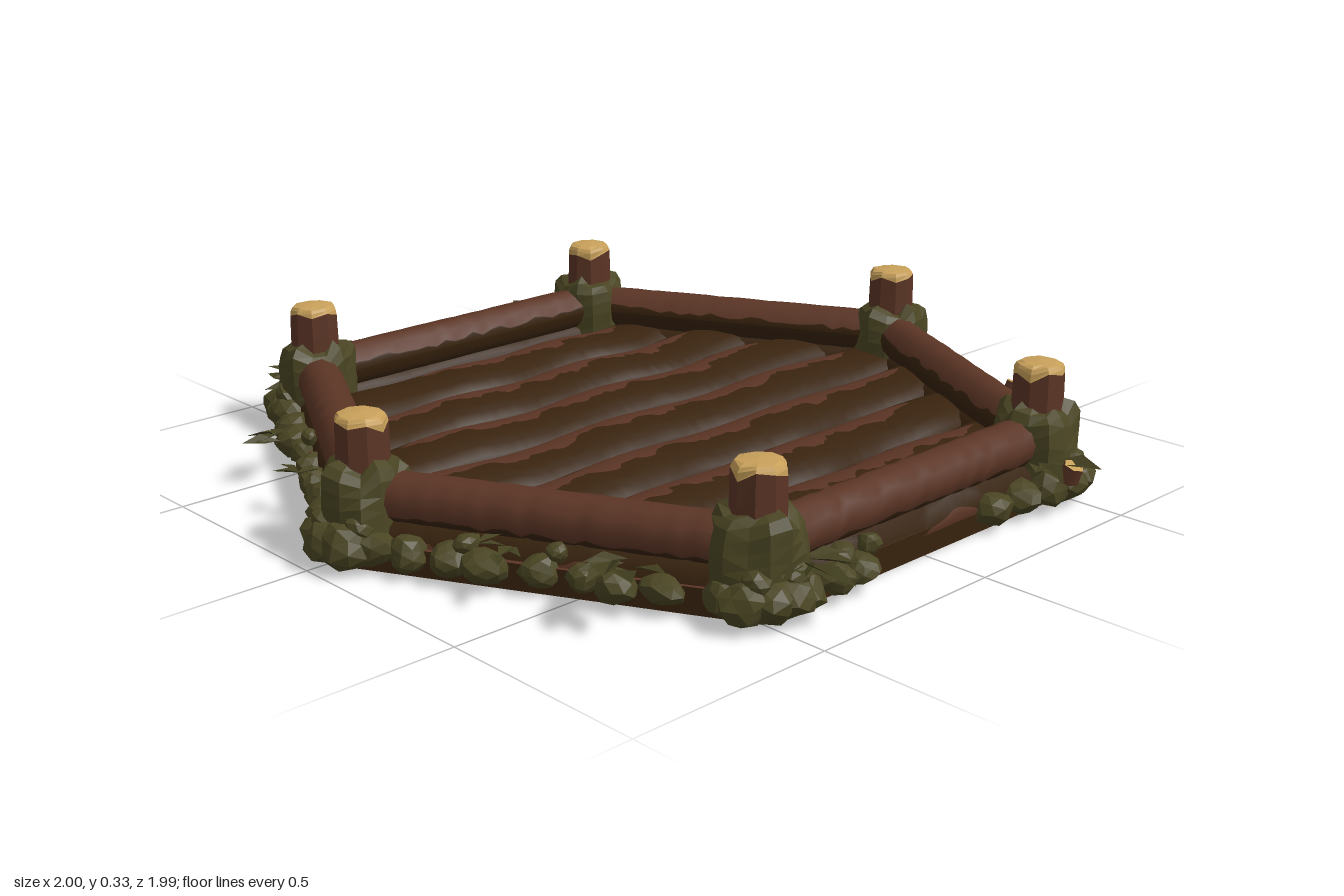
import * as THREE from 'three';

const mat = (name, color) => {
  const m = new THREE.MeshStandardMaterial({ color });
  m.name = name;
  return m;
};

let seed = 7;
const rnd = () => {
  seed = (seed * 16807) % 2147483647;
  return seed / 2147483647;
};
const vary = (a, b) => a + (b - a) * rnd();

// Surface point(u, v) cut across v into bands, one material each; edges(u, column) gives the ragged cuts.
function banded(point, cols, steps, edges, matIds) {
  const pos = [], idx = [], rows = matIds.length * steps + 1;
  for (let i = 0; i <= cols; i++) {
    const u = i / cols, e = [0, ...edges(u, i % cols), 1];
    for (let j = 0; j < rows; j++) {
      const b = Math.min(Math.floor(j / steps), matIds.length - 1);
      pos.push(...point(u, e[b] + (e[b + 1] - e[b]) * (j - b * steps) / steps));
    }
  }
  const g = new THREE.BufferGeometry();
  matIds.forEach((id, b) => {
    const start = idx.length;
    for (let i = 0; i < cols; i++) {
      for (let j = b * steps; j < (b + 1) * steps; j++) {
        const p = i * rows + j, q = p + rows;
        idx.push(p, q, q + 1, p, q + 1, p + 1);
      }
    }
    g.addGroup(start, idx.length - start, id);
  });
  g.setAttribute('position', new THREE.Float32BufferAttribute(pos, 3));
  g.setIndex(idx);
  g.computeVertexNormals();
  return g;
}

// Revolved point for a profile of [v, radius, y] rows
const turned = (profile, turn) => (u, v) => {
  let k = 0;
  while (k < profile.length - 2 && v > profile[k + 1][0]) k++;
  const [p, q] = [profile[k], profile[k + 1]];
  const t = (v - p[0]) / (q[0] - p[0]);
  const r = p[1] + (q[1] - p[1]) * t, a = u * Math.PI * 2 + turn;
  return [r * Math.sin(a), p[2] + (q[2] - p[2]) * t, r * Math.cos(a)];
};

const faceted = geo => {
  const g = geo.index ? geo.toNonIndexed() : geo;
  g.computeVertexNormals();
  return g;
};

export function createModel() {
  const model = new THREE.Group();
  model.name = 'logPlatform';
  const wood = mat('bark brown', 0x5b3525);
  const dark = mat('dark wood', 0x38230e);
  const moss = mat('moss olive', 0x4a4523);
  const leafMat = mat('leaf olive', 0x434020);
  const tan = mat('cut wood', 0xc8a05a);
  leafMat.side = THREE.DoubleSide;

  const add = (name, geo, material, parent = model) => {
    const m = new THREE.Mesh(geo, material);
    m.name = name;
    parent.add(m);
    return m;
  };

  const zc = 0.02;
  const corners = [[-0.46, 0.785], [0.46, 0.785], [0.86, zc], [0.46, -0.745], [-0.46, -0.745], [-0.86, zc]];
  const hexX = z => 0.86 - 0.4 * Math.abs(z - zc) / 0.765;

  // Base slab
  const outline = new THREE.Shape([[-0.5, -0.84], [0.5, -0.84], [0.94, -zc], [0.5, 0.8], [-0.5, 0.8], [-0.94, -zc]]
    .map(p => new THREE.Vector2(...p)));
  add('baseSlab', new THREE.ExtrudeGeometry(outline, { depth: 0.06, bevelEnabled: false })
    .rotateX(-Math.PI / 2), [wood, dark]).material[0] = wood;

  // Rounded floor planks with worn, ragged strips along the crest
  const reach = [0.3, 0.5, 0.56, 0.68, 0.64, 0.45, 0.42];
  reach.forEach((half, k) => {
    const z0 = -0.588 + k * 0.2;
    const phase = rnd() * 6;
    const shift = k === 0 ? 0.12 : vary(-0.03, 0.03);
    const point = (u, v) => {
      const a = Math.PI * v;
      const z = z0 + 0.1 * Math.cos(a) + 0.006 * Math.sin(u * 17 + k);
      return [(2 * u - 1) * hexX(z), 0.062 + 0.052 * Math.sin(a) + 0.004 * Math.sin(u * 19 + k * 2), z];
    };
    const cuts = u => {
      const x = (2 * u - 1) * hexX(z0) - shift;
      const env = Math.sqrt(THREE.MathUtils.clamp((half + 0.05 - Math.abs(x)) * 6, 0, 1));
      const wob = 0.035 * Math.sin(u * 31 + phase) + 0.025 * Math.sign(Math.sin(u * 67 + phase * 2));
      const wob2 = 0.03 * Math.sin(u * 43 + phase * 3) + 0.025 * Math.sign(Math.sin(u * 53 + phase));
      return [0.63 - env * (0.13 + wob + vary(-0.02, 0.02)), 0.63 + env * (0.13 + wob2 + vary(-0.02, 0.02))];
    };
    add('floorPlank', banded(point, 90, 4, cuts, [1, 0, 1]), [wood, dark]);
  });

  // Mossy stones
  const stone = (x, y, z, r, parent) => {
    const g = new THREE.IcosahedronGeometry(1, 1);
    const p = g.attributes.position, s = rnd() * 9;
    for (let i = 0; i < p.count; i++) {
      const [a, b, c] = [p.getX(i), p.getY(i), p.getZ(i)];
      const f = 1 + 0.1 * Math.sin(3 * a + s) + 0.09 * Math.sin(4 * b - 3 * c + 2 * s);
      p.setXYZ(i, a * f, b * f, c * f);
    }
    g.scale(r * vary(0.95, 1.25), r * 0.85, r);
    g.rotateY(rnd() * 6);
    g.translate(x, Math.max(y, r), z);
    add('mossyStone', faceted(g), moss, parent);
  };

  // Six sides: upper rail, lower log and a row of stones; local +z points outward
  corners.forEach(([x, z], i) => {
    const [x2, z2] = corners[(i + 1) % 6];
    const len = Math.hypot(x2 - x, z2 - z);
    const side = new THREE.Group();
    side.name = 'side';
    side.position.set((x + x2) / 2, 0, (z + z2) / 2);
    side.rotation.y = Math.atan2(z - z2, x2 - x);
    model.add(side);
    const log = (y0, r) => (u, v) => {
      const a = (2 * v - 1) * Math.PI;
      return [(u - 0.5) * len, y0 + r * Math.sin(a), r * Math.cos(a)];
    };
    add('upperRail', banded(log(0.146, 0.056), 30, 6,
      () => [vary(0.38, 0.44), vary(0.93, 0.98)], [1, 0, 1]), [wood, dark], side);
    const ph = i === 0 ? 5 : rnd() * 6;
    add('lowerLog', banded(log(0.06, 0.057), 40, 5, u => {
      const h = Math.max(0, 0.08 * Math.sin(u * 15 + ph) + vary(-0.01, 0.03));
      return [0.45 - h, 0.45 + h];
    }, [1, 0, 1]), [wood, dark], side);

    const open = i === 0 || i === 3;
    for (let d = 0.14; d < len - 0.1; d += 0.093) {
      if (open && Math.abs(d - len / 2) < 0.17) continue;
      const lx = d - len / 2 + vary(-0.02, 0.02);
      stone(lx, 0.05, vary(0.06, 0.085), vary(0.036, 0.05), side);
      if (rnd() > 0.6) stone(lx + 0.04, vary(0.085, 0.1), 0.062, vary(0.022, 0.03), side);
    }
  });

  // Corner posts with pale cut tops, bulging moss collars and a fan of larger stones
  corners.forEach(([x, z]) => {
    const corner = new THREE.Group();
    corner.name = 'cornerPost';
    corner.position.set(x, 0, z);
    model.add(corner);
    const drops = Array.from({ length: 9 }, () => vary(0.74, 0.82));
    const post = turned([[0, 0.064, 0.01], [0.8, 0.058, 0.308], [0.88, 0.05, 0.322], [1, 0, 0.327]], rnd());
    add('post', faceted(banded(post, 9, 5, (u, c) => [drops[c]], [0, 1])), [wood, tan], corner);

    const ph = rnd() * 6;
    const bulge = turned([[0, 0.1, 0.07], [0.35, 0.098, 0.14], [0.7, 0.09, 0.2], [0.9, 0.07, 0.222], [1, 0.052, 0.226]], ph);
    const lumpy = (u, v) => {
      const [a, b, c] = bulge(u, v), w = u * Math.PI * 2;
      const n = Math.sin(3 * w + ph + 4 * v) + Math.sin(5 * w + 2 * ph - 3 * v);
      return [a * (1 + 0.055 * n), b + 0.008 * n, c * (1 + 0.055 * n)];
    };
    add('mossCollar', faceted(banded(lumpy, 13, 6, () => [], [0])), [moss], corner);

    const out = Math.atan2(x, z - zc);
    for (let k = -2; k <= 2; k++) {
      const a = out + k * 0.56;
      stone(0.082 * Math.sin(a), 0.055, 0.082 * Math.cos(a), vary(0.05, 0.06), corner);
      if (k % 2) stone(0.08 * Math.sin(a + 0.25), 0.1, 0.08 * Math.cos(a + 0.25), 0.034, corner);
    }
  });

  // Leaf tufts spreading outward: x, z, heading, count, length
  const leafGeo = new THREE.BufferGeometry();
  leafGeo.setAttribute('position', new THREE.Float32BufferAttribute(
    [0, 0, 0, 0.24, 0.1, 0.5, 0, 0, 1, 0, 0, 0, 0, 0, 1, -0.24, 0.1, 0.5], 3));
  leafGeo.computeVertexNormals();
  const tufts = [
    [-0.31, -0.8, 3.14, 9, 0.2], [-0.46, -0.8, 3.5, 6, 0.11], [-0.2, -0.79, 2.9, 6, 0.15],
    [0.33, -0.8, 3.1, 9, 0.16], [0.48, -0.79, 2.6, 7, 0.14], [0.22, -0.79, 3.4, 5, 0.1],
    [-0.74, -0.5, -1.9, 5, 0.1], [-0.82, -0.25, -1.9, 4, 0.08], [-0.68, 0.62, -1.1, 6, 0.13],
    [-0.79, 0.38, -1.1, 5, 0.08], [-0.4, 0.86, -0.1, 6, 0.13], [0.38, 0.86, 0.1, 5, 0.13],
    [0.68, 0.6, 1.1, 4, 0.07], [0.72, -0.5, 1.9, 5, 0.11], [0.82, -0.25, 1.9, 5, 0.08],
  ];
  tufts.forEach(([x, z, heading, count, len]) => {
    const tuft = new THREE.Group();
    tuft.name = 'leafTuft';
    tuft.position.set(x, 0, z);
    model.add(tuft);
    for (let k = 0; k < count; k++) {
      const spread = k / (count - 1) - 0.5;
      const leaf = add('leaf', leafGeo, leafMat, tuft);
      leaf.position.set(vary(-0.03, 0.03), vary(0.1, 0.125), vary(-0.02, 0.02));
      leaf.rotation.set(vary(-0.2, 0.12), heading + spread * 2.2, vary(-0.3, 0.3), 'YXZ');
      leaf.scale.setScalar(len * vary(0.9, 1.05) * (1 - 0.5 * Math.abs(spread)));
    }
  });

  // Small cut twigs poking out
  [[0.785, 0.485, 1.1], [0.395, 0.93, 0.1]].forEach(([x, z, a]) => {
    const twig = add('twig', new THREE.CylinderGeometry(0.024, 0.026, 0.04, 6), [wood, tan, wood]);
    twig.position.set(x, 0.11, z);
    twig.rotation.set(0.35, a, 0, 'YXZ');
  });

  return model;
}
